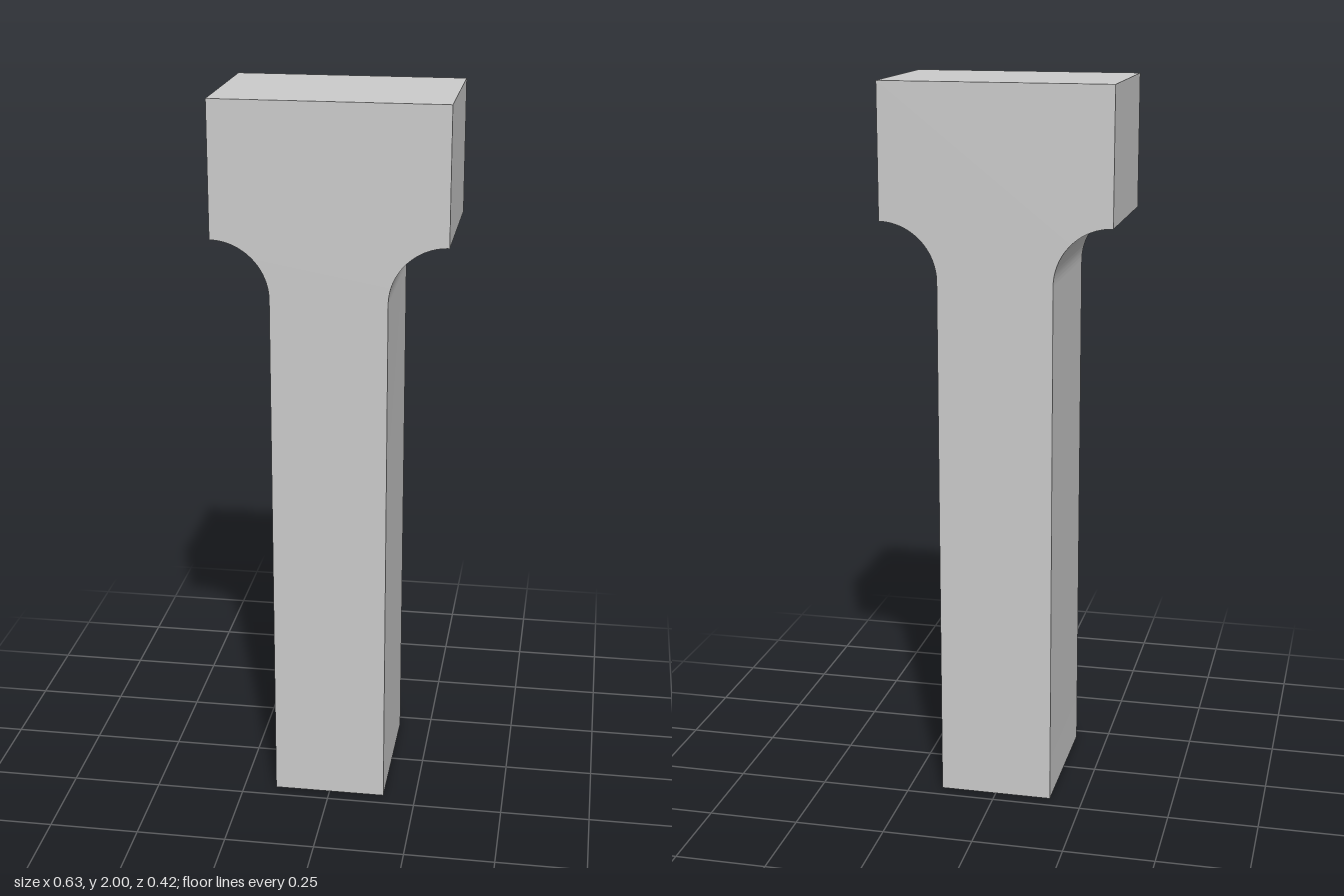
import * as THREE from 'three';
import { toCreasedNormals } from 'three/addons/utils/BufferGeometryUtils.js';

const STEM = 0.1575;   // half width of the stem
const HEAD = 0.315;    // half width of the head
const DEPTH = 0.42;
const HEIGHT = 2;
const FILLET_Y = 1.475; // height where the fillets begin
const RADIUS = HEAD - STEM;

export function createModel() {
  const group = new THREE.Group();
  group.name = 'tPost';

  // T-shaped profile: straight stem, concave quarter-round fillets, square head
  const profile = new THREE.Shape();
  profile.moveTo(-STEM, 0);
  profile.lineTo(STEM, 0);
  profile.lineTo(STEM, FILLET_Y);
  profile.absarc(HEAD, FILLET_Y, RADIUS, Math.PI, Math.PI / 2, true);
  profile.lineTo(HEAD, HEIGHT);
  profile.lineTo(-HEAD, HEIGHT);
  profile.lineTo(-HEAD, FILLET_Y + RADIUS);
  profile.absarc(-HEAD, FILLET_Y, RADIUS, Math.PI / 2, 0, true);
  profile.closePath();

  // Extrude front to back, smooth only along the fillets
  const solid = new THREE.ExtrudeGeometry(profile, {
    depth: DEPTH, bevelEnabled: false, curveSegments: 24,
  });
  solid.translate(0, 0, -DEPTH / 2);

  const post = new THREE.Mesh(
    toCreasedNormals(solid, Math.PI / 6),
    new THREE.MeshStandardMaterial({ color: 0xcccccc }),
  );
  post.name = 'filletedPost';
  group.add(post);
  return group;
}
